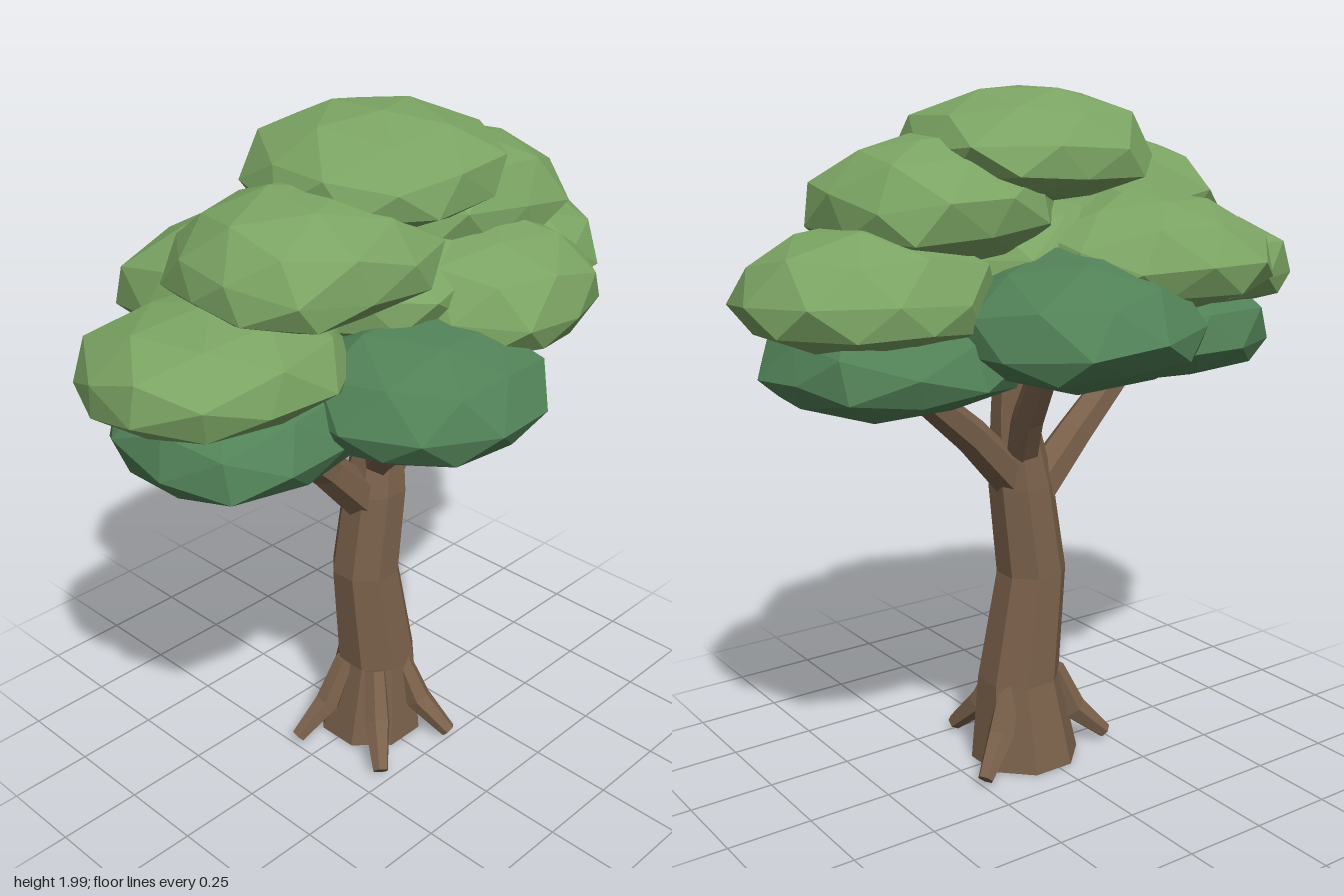
import * as THREE from 'three';

const UP = new THREE.Vector3(0, 1, 0);

// Small seeded random generator
function seeded(seed) {
  let s = seed * 7919 + 17;
  return () => {
    s = (s * 16807) % 2147483647;
    return s / 2147483647;
  };
}

// Faceted limb swept through stations [x, y, z, radius], closed at both ends
function limb(name, stations, sides, material, upright = false) {
  const points = stations.map(([x, y, z]) => new THREE.Vector3(x, y, z));
  const last = points.length - 1;
  const position = [];
  const index = [];
  points.forEach((p, i) => {
    const tangent = points[Math.min(i + 1, last)].clone().sub(points[Math.max(i - 1, 0)]).normalize();
    const turn = new THREE.Quaternion().setFromUnitVectors(UP, upright ? UP : tangent);
    for (let j = 0; j < sides; j++) {
      const a = ((j + 0.5) / sides) * Math.PI * 2;
      const v = new THREE.Vector3(Math.sin(a), 0, Math.cos(a));
      v.multiplyScalar(stations[i][3]).applyQuaternion(turn).add(p);
      position.push(v.x, v.y, v.z);
    }
  });
  for (let i = 0; i < last; i++) {
    for (let j = 0; j < sides; j++) {
      const a = i * sides + j;
      const b = i * sides + ((j + 1) % sides);
      index.push(a, b, b + sides, a, b + sides, a + sides);
    }
  }
  for (let j = 1; j < sides - 1; j++) {
    const t = last * sides;
    index.push(0, j + 1, j, t, t + j, t + j + 1);
  }
  const indexed = new THREE.BufferGeometry();
  indexed.setAttribute('position', new THREE.Float32BufferAttribute(position, 3));
  indexed.setIndex(index);
  const geometry = indexed.toNonIndexed();
  geometry.computeVertexNormals();
  const mesh = new THREE.Mesh(geometry, material);
  mesh.name = name;
  return mesh;
}

// Domed, faceted leaf clump with a shallow underside and full corners,
// fitted between two box corners
function clump(name, min, max, seed, material) {
  const geometry = new THREE.IcosahedronGeometry(1, 1);
  const random = seeded(seed);
  const spin = new THREE.Euler(random() * 0.5, random() * 6, random() * 0.5);
  const moved = new Map();
  const pos = geometry.attributes.position;
  const v = new THREE.Vector3();
  for (let i = 0; i < pos.count; i++) {
    v.fromBufferAttribute(pos, i);
    const key = v.toArray().map((n) => Math.round(n * 1000)).join();
    if (!moved.has(key)) moved.set(key, 0.95 + random() * 0.1);
    v.multiplyScalar(moved.get(key)).applyEuler(spin);
    const full = 1 + 0.09 * Math.sin(2 * Math.atan2(v.z, v.x)) ** 2;
    pos.setXYZ(i, v.x * full, v.y < 0 ? v.y * 0.58 : v.y, v.z * full);
  }
  geometry.computeBoundingBox();
  const { min: lo, max: hi } = geometry.boundingBox;
  geometry.translate(-lo.x, -lo.y, -lo.z);
  geometry.scale(
    (max[0] - min[0]) / (hi.x - lo.x),
    (max[1] - min[1]) / (hi.y - lo.y),
    (max[2] - min[2]) / (hi.z - lo.z)
  );
  geometry.translate(...min);
  geometry.computeVertexNormals();
  const mesh = new THREE.Mesh(geometry, material);
  mesh.name = name;
  return mesh;
}

export function createModel() {
  const bark = new THREE.MeshStandardMaterial({ name: 'bark brown', color: 0x7a614b });
  const light = new THREE.MeshStandardMaterial({ name: 'light leaf green', color: 0x7ba463 });
  const dark = new THREE.MeshStandardMaterial({ name: 'dark leaf green', color: 0x518157 });

  const tree = new THREE.Group();
  tree.name = 'tree';

  // Gently swaying trunk
  tree.add(limb('trunk', [
    [0.02, 0.01, -0.005, 0.165],
    [0.035, 0.27, 0.005, 0.125],
    [-0.005, 0.6, -0.005, 0.105],
    [0.025, 0.87, 0.005, 0.097],
    [0.05, 1.08, 0.005, 0.068],
    [0.05, 1.32, 0, 0.058],
  ], 8, bark, true));

  // Branches reaching into the crown
  const branches = {
    leftBranch: [[0.05, 0.88, 0, 0.062], [0.22, 1.05, -0.03, 0.052], [0.46, 1.25, -0.07, 0.04]],
    rightBranch: [[0, 0.82, 0, 0.066], [-0.17, 1.0, 0, 0.055], [-0.43, 1.24, 0.02, 0.042]],
    frontBranch: [[0.02, 0.95, 0.02, 0.054], [-0.04, 1.08, 0.12, 0.047], [-0.11, 1.27, 0.28, 0.04]],
    backBranch: [[0.04, 0.95, -0.01, 0.054], [0.08, 1.1, -0.11, 0.047], [0.12, 1.3, -0.26, 0.04]],
  };
  for (const name in branches) tree.add(limb(name, branches[name], 6, bark));

  // Roots flaring from the trunk foot, listed by their tips
  const roots = new THREE.Group();
  roots.name = 'roots';
  for (const [x, z] of [[0.245, -0.125], [0.115, 0.245], [-0.175, 0.225], [-0.235, -0.075]]) {
    const dx = x - 0.02;
    const at = (f, y, r) => [0.02 + dx * f, y, z * f, r];
    roots.add(limb('root', [at(0.36, 0.27, 0.034), at(0.6, 0.13, 0.042), at(1, 0.033, 0.024)], 6, bark));
  }
  tree.add(roots);

  // Shaded lower clumps, then sunlit upper clumps
  const lower = [
    ['frontLowerClump', [-0.45, 1.18, -0.04], [0.24, 1.53, 0.63]],
    ['rightLowerClump', [-0.83, 1.13, -0.29], [-0.14, 1.46, 0.33]],
    ['leftLowerClump', [0.15, 1.16, -0.39], [0.83, 1.48, 0.25]],
    ['backLowerClump', [-0.27, 1.23, -0.64], [0.42, 1.6, 0.03]],
  ];
  const upper = [
    ['rightOuterClump', [-0.91, 1.33, -0.28], [-0.22, 1.63, 0.33]],
    ['leftOuterClump', [0.22, 1.34, -0.38], [0.91, 1.67, 0.28]],
    ['frontClump', [-0.1, 1.34, -0.1], [0.54, 1.7, 0.51]],
    ['backClump', [-0.57, 1.39, -0.56], [0.16, 1.73, 0.04]],
    ['middleClump', [-0.34, 1.4, -0.33], [0.34, 1.72, 0.34]],
    ['rightUpperClump', [-0.62, 1.54, -0.25], [0.04, 1.86, 0.35]],
    ['leftUpperClump', [0, 1.54, -0.31], [0.65, 1.88, 0.28]],
    ['topClump', [-0.32, 1.69, -0.34], [0.37, 2.0, 0.31]],
  ];
  const crown = new THREE.Group();
  crown.name = 'crown';
  lower.forEach(([name, min, max], i) => crown.add(clump(name, min, max, i + 3, dark)));
  upper.forEach(([name, min, max], i) => crown.add(clump(name, min, max, i + 21, light)));
  tree.add(crown);

  return tree;
}
